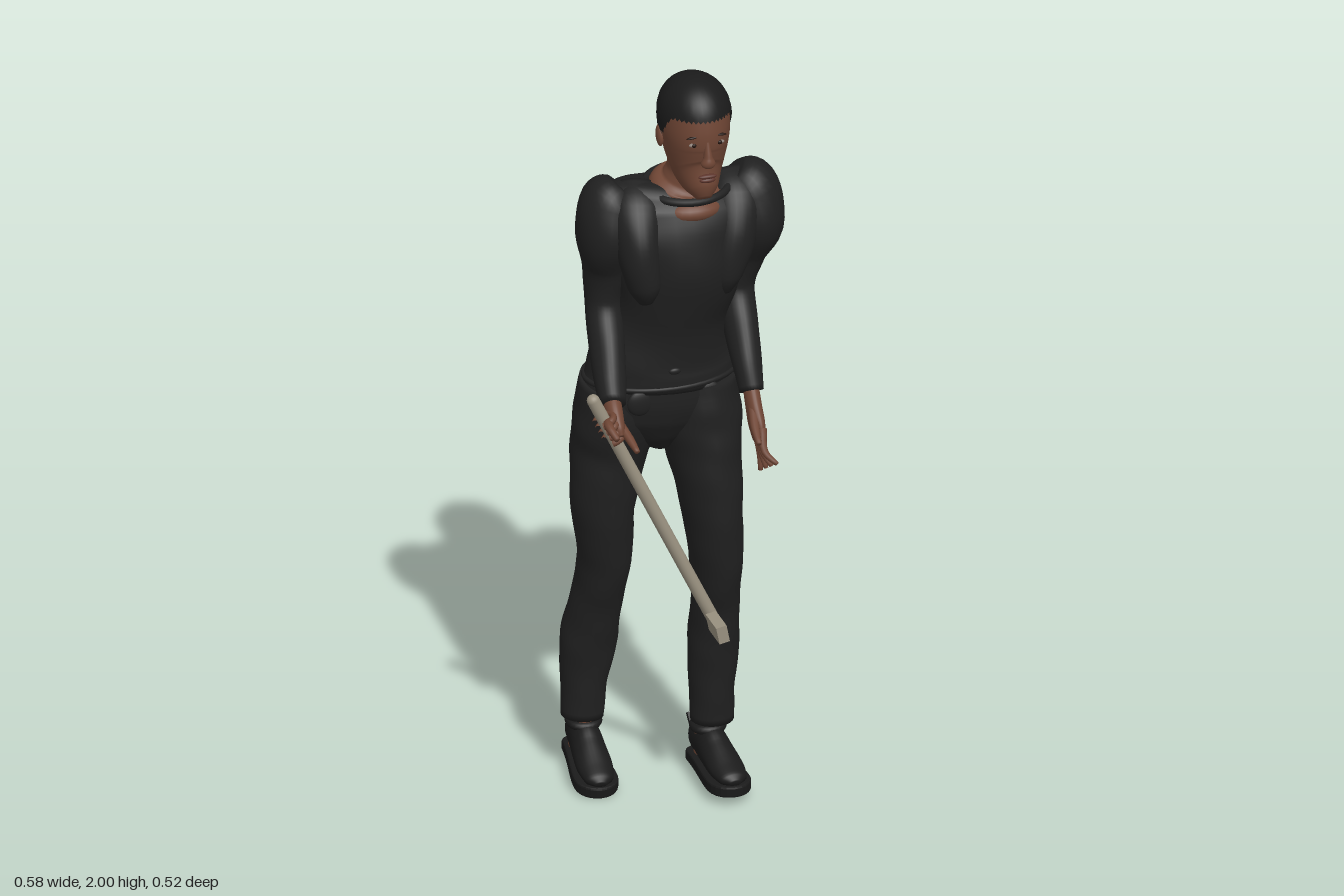
import * as THREE from 'three';

const material = (name, color) => Object.assign(new THREE.MeshStandardMaterial({ color }), { name });

// Closed skin through cross-sections [x, y, z, radiusA, radiusB]; folds adds cloth ripples
function loft(sections, folds = 0, steps = 6, sides = 28) {
  const path = new THREE.CatmullRomCurve3(sections.map(s => new THREE.Vector3(s[0], s[1], s[2])));
  const size = new THREE.CatmullRomCurve3(sections.map(s => new THREE.Vector3(s[3], s[4], 0)));
  const rows = (sections.length - 1) * steps;
  const pos = [], idx = [];
  for (let i = 0; i <= rows; i++) {
    const t = i / rows, c = path.getPoint(t), r = size.getPoint(t), T = path.getTangent(t);
    const u = new THREE.Vector3(1, 0, 0).addScaledVector(T, -T.x).normalize();
    const v = new THREE.Vector3().crossVectors(T, u);
    for (let j = 0; j < sides; j++) {
      const a = j / sides * Math.PI * 2;
      const k = 1 + folds * (Math.sin(3 * a + c.y * 38) + 0.6 * Math.sin(2 * a - c.y * 61));
      const p = c.clone().addScaledVector(u, r.x * k * Math.cos(a)).addScaledVector(v, r.y * k * Math.sin(a));
      pos.push(p.x, p.y, p.z);
    }
  }
  for (let i = 0; i < rows; i++) for (let j = 0; j < sides; j++) {
    const a = i * sides + j, b = i * sides + (j + 1) % sides;
    idx.push(a, b, a + sides, b, b + sides, a + sides);
  }
  for (const end of [0, 1]) {
    const c = path.getPoint(end), n = pos.length / 3, o = end * rows * sides;
    pos.push(c.x, c.y, c.z);
    for (let j = 0; j < sides; j++) {
      const a = o + j, b = o + (j + 1) % sides;
      idx.push(n, end ? a : b, end ? b : a);
    }
  }
  const g = new THREE.BufferGeometry();
  g.setAttribute('position', new THREE.Float32BufferAttribute(pos, 3));
  g.setIndex(idx);
  g.computeVertexNormals();
  return g;
}

// Cropped hair: a dome whose lower edge follows the hairline
function hairGeometry() {
  const g = new THREE.SphereGeometry(1, 48, 20), p = g.attributes.position, uv = g.attributes.uv;
  for (let i = 0; i < p.count; i++) {
    const a = uv.getX(i) * Math.PI * 2, v = 1 - uv.getY(i), f = Math.sin(a);
    const edge = 1.85 + 0.065 * THREE.MathUtils.smoothstep(f, 0.05, 0.6);
    const y = 1.89 + 0.11 * Math.cos(v * Math.acos((edge - 1.89) / 0.11));
    const h = (y - 1.89) / 0.11;
    const r = (h > 0 ? Math.pow(1 - Math.min(1, h) ** 2.3, 0.5) : 1 + 0.12 * h) * (1 + 0.006 * Math.sin(a * 24 + y * 90));
    p.setXYZ(i, 0.04 - Math.cos(a) * r * 0.093, y, 0.006 + f * r * 0.116);
  }
  g.computeVertexNormals();
  return g;
}

export function createModel() {
  const model = new THREE.Group();
  model.name = 'standingFigure';
  const cloth = material('black cloth', 0x202020);
  const skin = material('brown skin', 0x6e4534);
  const hair = material('black hair', 0x1b1b1b);
  hair.side = THREE.DoubleSide;
  const shoe = material('black shoe', 0x1a1a1a);
  const stick = material('grey beige cane', 0x98907f);
  const eyeWhite = material('eye white', 0x8d8078);
  const dark = material('dark brown', 0x24150f);
  const lip = material('lip', 0x5c342b);

  const add = (name, geo, mat, parent = model) => {
    const m = new THREE.Mesh(geo, mat);
    m.name = name;
    parent.add(m);
    return m;
  };
  const ball = (name, mat, pos, scale) => {
    const m = add(name, new THREE.SphereGeometry(1, 24, 16), mat);
    m.position.set(...pos);
    m.scale.set(...scale);
    return m;
  };

  // Head and neck
  add('head', loft([
    [0.04, 1.692, 0.088, 0.018, 0.02], [0.04, 1.715, 0.074, 0.04, 0.048], [0.04, 1.76, 0.036, 0.064, 0.088],
    [0.04, 1.81, 0.016, 0.079, 0.105], [0.04, 1.87, 0.01, 0.087, 0.111], [0.04, 1.92, 0.006, 0.086, 0.106],
    [0.04, 1.965, 0.002, 0.06, 0.078], [0.04, 1.985, 0, 0.02, 0.03]]), skin);
  add('neck', loft([
    [0.034, 1.65, -0.035, 0.1, 0.085], [0.034, 1.684, -0.035, 0.098, 0.083], [0.037, 1.705, -0.03, 0.068, 0.064],
    [0.04, 1.735, -0.024, 0.06, 0.061], [0.04, 1.78, -0.018, 0.061, 0.066], [0.04, 1.83, -0.012, 0.066, 0.075]]), skin);
  add('hair', hairGeometry(), hair);
  add('nose', loft([[0.04, 1.88, 0.113, 0.003, 0.003], [0.04, 1.85, 0.116, 0.008, 0.01], [0.04, 1.822, 0.121, 0.012, 0.014],
    [0.04, 1.806, 0.122, 0.019, 0.017], [0.04, 1.796, 0.117, 0.01, 0.006]]), skin);
  ball('upperLip', lip, [0.04, 1.768, 0.119], [0.025, 0.006, 0.008]);
  ball('lowerLip', lip, [0.04, 1.757, 0.117], [0.021, 0.007, 0.009]);
  for (const s of [-1, 1]) {
    const x = 0.04 + s * 0.034;
    ball('eye', eyeWhite, [x, 1.856, 0.109], [0.013, 0.0055, 0.006]);
    ball('iris', dark, [x, 1.856, 0.1125], [0.0065, 0.0055, 0.004]);
    ball('eyebrow', dark, [x, 1.877, 0.109], [0.019, 0.0035, 0.005]).rotation.z = -s * 0.12;
    ball('ear', skin, [0.04 + s * 0.087, 1.84, -0.005], [0.01, 0.029, 0.017]).rotation.x = -0.2;
  }

  // Jacket body with broad shoulders
  add('jacketBody', loft([
    [-0.022, 1.14, -0.08, 0.2, 0.13], [-0.02, 1.2, -0.078, 0.188, 0.13], [-0.005, 1.32, -0.052, 0.148, 0.113],
    [0.012, 1.45, -0.038, 0.165, 0.134], [0.018, 1.56, -0.045, 0.2, 0.13], [0.02, 1.63, -0.053, 0.215, 0.11],
    [0.022, 1.662, -0.055, 0.195, 0.09], [0.025, 1.68, -0.057, 0.13, 0.06]], 0.008), cloth);
  ball('chestSkin', skin, [0.03, 1.634, 0.015], [0.08, 0.033, 0.056]);
  const collar = add('collar', new THREE.TorusGeometry(1, 0.1, 10, 40), cloth);
  collar.position.set(0.034, 1.679, -0.035);
  collar.scale.set(0.108, 0.093, 0.11);
  collar.rotation.x = Math.PI / 2 + 0.12;

  // Open front edges that run over the shoulders
  add('rightLapel', loft([[-0.09, 1.685, -0.06, 0.05, 0.03], [-0.105, 1.64, -0.005, 0.065, 0.05], [-0.115, 1.55, 0.03, 0.057, 0.062],
    [-0.105, 1.45, 0.048, 0.043, 0.047], [-0.1, 1.405, 0.048, 0.02, 0.02]], 0.012), cloth);
  add('leftLapel', loft([[0.15, 1.685, -0.06, 0.05, 0.03], [0.155, 1.64, -0.005, 0.065, 0.05], [0.135, 1.55, 0.025, 0.062, 0.062],
    [0.108, 1.45, 0.045, 0.044, 0.045], [0.105, 1.405, 0.045, 0.02, 0.02]], 0.012), cloth);

  // Hem, pocket ends and knot
  const hem = add('jacketHem', new THREE.TorusGeometry(1, 0.035, 8, 48), cloth);
  hem.position.set(-0.022, 1.15, -0.08);
  hem.scale.set(0.198, 0.13, 0.2);
  hem.rotation.x = Math.PI / 2;
  for (const x of [-0.11, 0.07]) ball('hemFlap', cloth, [x, 1.115, 0.032], [0.035, 0.035, 0.012]);
  ball('waistKnot', cloth, [-0.025, 1.2, 0.05], [0.016, 0.009, 0.007]);

  // Sleeves with full shoulders
  add('leftSleeve', loft([
    [0.155, 1.675, -0.055, 0.05, 0.055], [0.19, 1.645, -0.045, 0.082, 0.088], [0.207, 1.565, -0.04, 0.083, 0.1],
    [0.187, 1.46, -0.06, 0.06, 0.072], [0.172, 1.36, -0.06, 0.046, 0.054], [0.168, 1.28, -0.01, 0.045, 0.05],
    [0.165, 1.2, 0.05, 0.038, 0.042], [0.165, 1.135, 0.09, 0.031, 0.033]], 0.012), cloth);
  add('rightSleeve', loft([
    [-0.125, 1.675, -0.065, 0.05, 0.055], [-0.155, 1.645, -0.062, 0.08, 0.083], [-0.17, 1.565, -0.055, 0.08, 0.092],
    [-0.17, 1.46, -0.07, 0.058, 0.067], [-0.177, 1.36, -0.065, 0.047, 0.053], [-0.186, 1.28, -0.01, 0.046, 0.05],
    [-0.2, 1.21, 0.06, 0.041, 0.044], [-0.21, 1.165, 0.115, 0.034, 0.036]], 0.012), cloth);

  // Open left hand
  add('leftPalm', loft([[0.165, 1.15, 0.08, 0.02, 0.024], [0.165, 1.1, 0.108, 0.02, 0.03],
    [0.166, 1.06, 0.13, 0.019, 0.04], [0.167, 1.025, 0.147, 0.013, 0.037]]), skin);
  for (let i = 0; i < 4; i++) {
    const y = 1.02 + i * 0.011, z = 0.12 + i * 0.018;
    add('leftFinger', loft([[0.167, y + 0.015, z, 0.011, 0.011], [0.172 - i * 0.003, y - 0.035, z + 0.018 + i * 0.004, 0.0095, 0.0095],
      [0.17 + i * 0.006, y - 0.08 + i * 0.006, z + 0.028 + i * 0.009, 0.006, 0.006]], 0, 4, 10), skin);
  }
  add('leftThumb', loft([[0.16, 1.1, 0.12, 0.014, 0.014], [0.15, 1.07, 0.165, 0.012, 0.012],
    [0.146, 1.045, 0.21, 0.007, 0.007]], 0, 4, 10), skin);

  // Cane with its short handle block
  const top = new THREE.Vector3(-0.275, 1.205, 0.157), tip = new THREE.Vector3(0.05, 0.53, 0.157);
  const dir = tip.clone().sub(top);
  const shaft = add('caneShaft', new THREE.CapsuleGeometry(0.0165, dir.length(), 6, 16), stick);
  shaft.position.copy(top).lerp(tip, 0.5);
  shaft.quaternion.setFromUnitVectors(new THREE.Vector3(0, 1, 0), dir.clone().normalize());
  const block = add('caneBlock', new THREE.BoxGeometry(0.028, 0.046, 0.088), stick);
  block.position.set(0.035, 0.55, 0.216);
  block.rotation.z = 0.2;

  // Right hand closed round the cane
  add('rightPalm', loft([[-0.207, 1.18, 0.095, 0.022, 0.024], [-0.212, 1.15, 0.128, 0.023, 0.03],
    [-0.212, 1.115, 0.155, 0.02, 0.034], [-0.21, 1.095, 0.17, 0.013, 0.026]]), skin);
  for (let i = 0; i < 4; i++) {
    const f = add('rightFinger', new THREE.TorusGeometry(0.025, 0.0095, 8, 20, 4.6), skin);
    f.position.copy(top).lerp(tip, 0.09 + i * 0.025);
    f.quaternion.setFromUnitVectors(new THREE.Vector3(0, 0, 1), dir.clone().normalize());
    f.rotateZ(-2.2);
  }
  add('rightThumb', loft([[-0.235, 1.14, 0.15, 0.014, 0.014], [-0.245, 1.145, 0.195, 0.012, 0.012],
    [-0.236, 1.125, 0.235, 0.008, 0.008]], 0, 4, 10), skin);
  add('rightForefinger', loft([[-0.2, 1.12, 0.155, 0.012, 0.012], [-0.19, 1.1, 0.2, 0.011, 0.011],
    [-0.184, 1.085, 0.238, 0.007, 0.007]], 0, 4, 10), skin);

  // Trousers
  add('trouserSeat', loft([[-0.03, 0.945, -0.075, 0.03, 0.05], [-0.032, 0.985, -0.078, 0.11, 0.085],
    [-0.03, 1.04, -0.08, 0.185, 0.115], [-0.025, 1.1, -0.08, 0.2, 0.128], [-0.022, 1.17, -0.08, 0.188, 0.125]], 0.005), cloth);
  for (const x of [-0.115, 0.05]) ball('buttock', cloth, [x, 1.09, -0.118], [0.1, 0.125, 0.102]);
  add('leftTrouserLeg', loft([
    [0.07, 1.13, -0.075, 0.1, 0.12], [0.077, 1.03, -0.068, 0.105, 0.125], [0.083, 0.94, -0.055, 0.096, 0.12], [0.095, 0.8, -0.03, 0.079, 0.105],
    [0.108, 0.62, -0.026, 0.066, 0.086], [0.112, 0.5, -0.045, 0.06, 0.073], [0.112, 0.38, -0.06, 0.065, 0.072],
    [0.108, 0.26, -0.06, 0.058, 0.062], [0.108, 0.16, -0.06, 0.055, 0.058]], 0.013), cloth);
  add('rightTrouserLeg', loft([
    [-0.125, 1.13, -0.09, 0.1, 0.115], [-0.134, 1.03, -0.1, 0.107, 0.118], [-0.146, 0.94, -0.112, 0.099, 0.106], [-0.165, 0.8, -0.105, 0.083, 0.09],
    [-0.157, 0.62, -0.12, 0.068, 0.075], [-0.168, 0.5, -0.15, 0.066, 0.07], [-0.18, 0.38, -0.175, 0.074, 0.068],
    [-0.191, 0.26, -0.18, 0.06, 0.058], [-0.197, 0.16, -0.178, 0.054, 0.054]], 0.013), cloth);

  // Shoes: flat sole, rounded upper, ankle and flared heel tab
  const outline = new THREE.Shape();
  outline.moveTo(-0.036, -0.11);
  outline.bezierCurveTo(-0.03, -0.13, 0.03, -0.13, 0.036, -0.11);
  outline.bezierCurveTo(0.038, -0.03, 0.052, 0.02, 0.052, 0.07);
  outline.bezierCurveTo(0.05, 0.145, -0.05, 0.145, -0.052, 0.07);
  outline.bezierCurveTo(-0.052, 0.02, -0.038, -0.03, -0.036, -0.11);
  const soleGeo = new THREE.ExtrudeGeometry(outline, { depth: 0.02, bevelEnabled: true, bevelSize: 0.005, bevelThickness: 0.005, bevelSegments: 2, curveSegments: 12 });
  soleGeo.rotateX(Math.PI / 2).translate(0, 0.025, 0);
  const shoes = [['leftShoe', 0.1, 0.03, 0.012, 0.02, 0.08], ['rightShoe', -0.195, 0.02, -0.132, 0.13, -0.05]];
  for (const [name, x, y, z, pitch, yaw] of shoes) {
    const g = new THREE.Group();
    g.name = name;
    g.position.set(x, y, z);
    g.rotation.set(pitch, yaw, 0);
    model.add(g);
    add('sole', soleGeo, shoe, g);
    add('upper', loft([[0, 0.05, -0.122, 0.02, 0.025], [0, 0.065, -0.105, 0.036, 0.045], [0, 0.07, -0.05, 0.04, 0.056],
      [0, 0.06, 0.0, 0.044, 0.045], [0, 0.048, 0.06, 0.046, 0.03], [0, 0.04, 0.105, 0.036, 0.02], [0, 0.036, 0.122, 0.014, 0.008]]), shoe, g);
    add('ankle', new THREE.CylinderGeometry(0.034, 0.036, 0.13, 20), skin, g).position.set(0, 0.105, -0.065);
    add('shoeCollar', new THREE.TorusGeometry(0.036, 0.012, 8, 24).rotateX(Math.PI / 2), shoe, g).position.set(0, 0.114, -0.066);
    const tab = add('heelTab', new THREE.BoxGeometry(0.06, 0.055, 0.01), shoe, g);
    tab.position.set(0, 0.1, -0.115);
    tab.rotation.x = -0.7;
  }
  return model;
}
